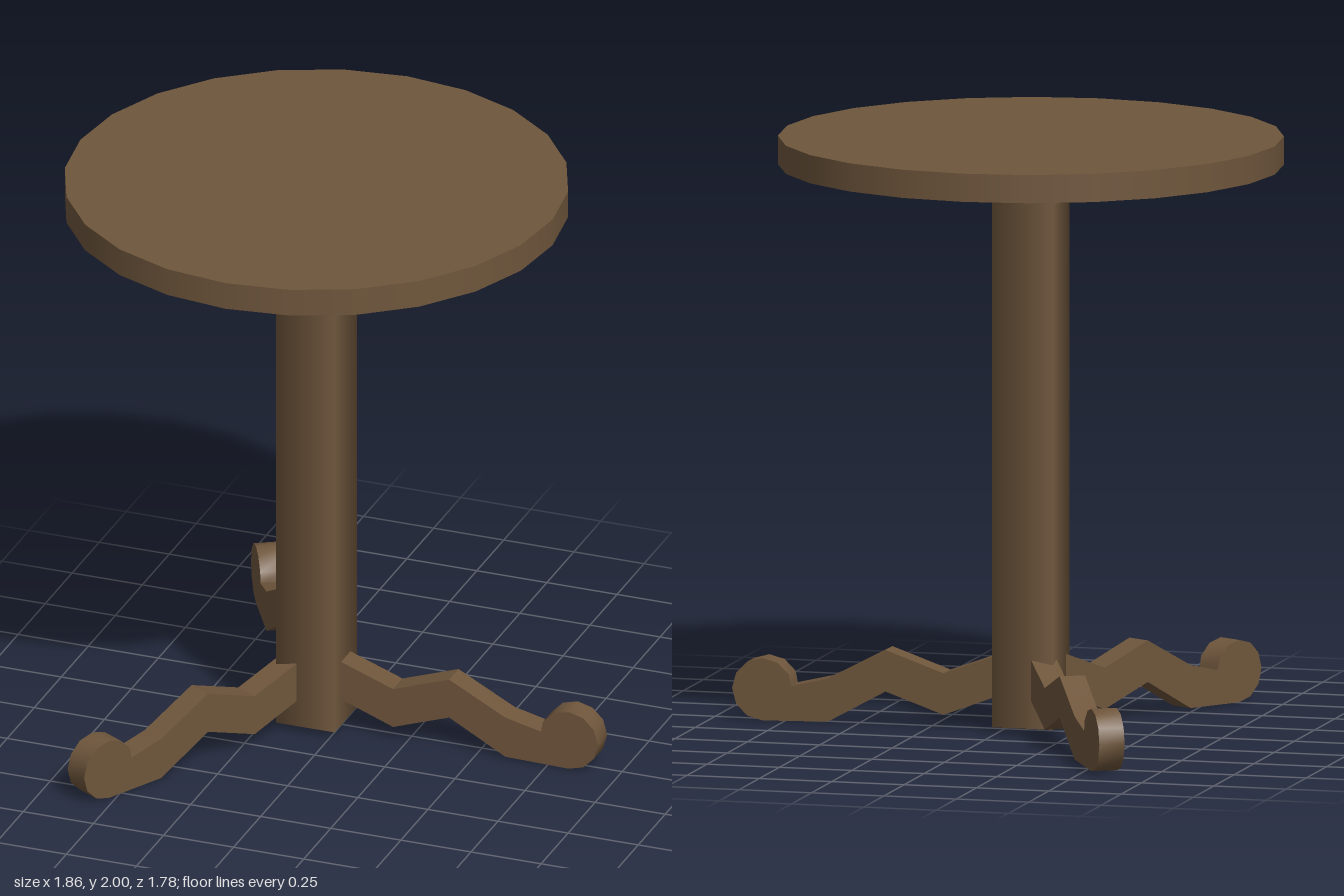
import * as THREE from 'three';
import { toCreasedNormals } from 'three/addons/utils/BufferGeometryUtils.js';

const AXIS_X = -0.09; // the pedestal stands off-centre because of the three feet
const LEG_WIDTH = 0.087;

// Side profile of a leg: x runs outward from the pedestal axis, y is up
function legGeometry() {
  const shape = new THREE.Shape();
  shape.moveTo(0.06, 0.105);
  shape.lineTo(0.09, 0.115);
  shape.lineTo(0.275, 0.045);
  shape.lineTo(0.475, 0.115);
  shape.lineTo(0.675, 0.005);
  shape.lineTo(0.9, 0);
  // rounded scroll foot
  for (let i = -2; i <= 5; i++) {
    const a = (i * Math.PI) / 6;
    shape.lineTo(0.9 + 0.105 * Math.cos(a), 0.105 + 0.105 * Math.sin(a));
  }
  shape.lineTo(0.802, 0.12);
  shape.lineTo(0.675, 0.15);
  shape.lineTo(0.475, 0.255);
  shape.lineTo(0.275, 0.185);
  shape.lineTo(0.09, 0.253);
  shape.lineTo(0.06, 0.264);
  shape.closePath();
  const geo = new THREE.ExtrudeGeometry(shape, { depth: LEG_WIDTH, bevelEnabled: false });
  geo.translate(0, 0, -LEG_WIDTH / 2);
  return toCreasedNormals(geo, 0.6);
}

export function createModel() {
  const model = new THREE.Group();
  model.name = 'pedestalTable';

  const wood = new THREE.MeshStandardMaterial({ color: 0x6f563c });
  wood.name = 'brownWood';

  const add = (name, geometry, x, y) => {
    const mesh = new THREE.Mesh(geometry, wood);
    mesh.name = name;
    mesh.position.set(x, y, 0);
    model.add(mesh);
    return mesh;
  };

  // Round top with 24 sides
  add('tableTop', new THREE.CylinderGeometry(0.842, 0.842, 0.095, 24), AXIS_X, 1.9525);

  // Square column, softly shaded around its corners
  const column = new THREE.CylinderGeometry(0.148, 0.148, 1.89, 4);
  column.rotateY(Math.PI / 4);
  add('column', column, AXIS_X, 0.965);

  // Three legs, a third of a turn apart
  const leg = legGeometry();
  for (let i = 0; i < 3; i++) {
    const mesh = add('leg' + (i + 1), leg, i === 0 ? -0.075 : -0.11, 0);
    mesh.rotation.y = (i * 2 * Math.PI) / 3;
  }

  return model;
}
